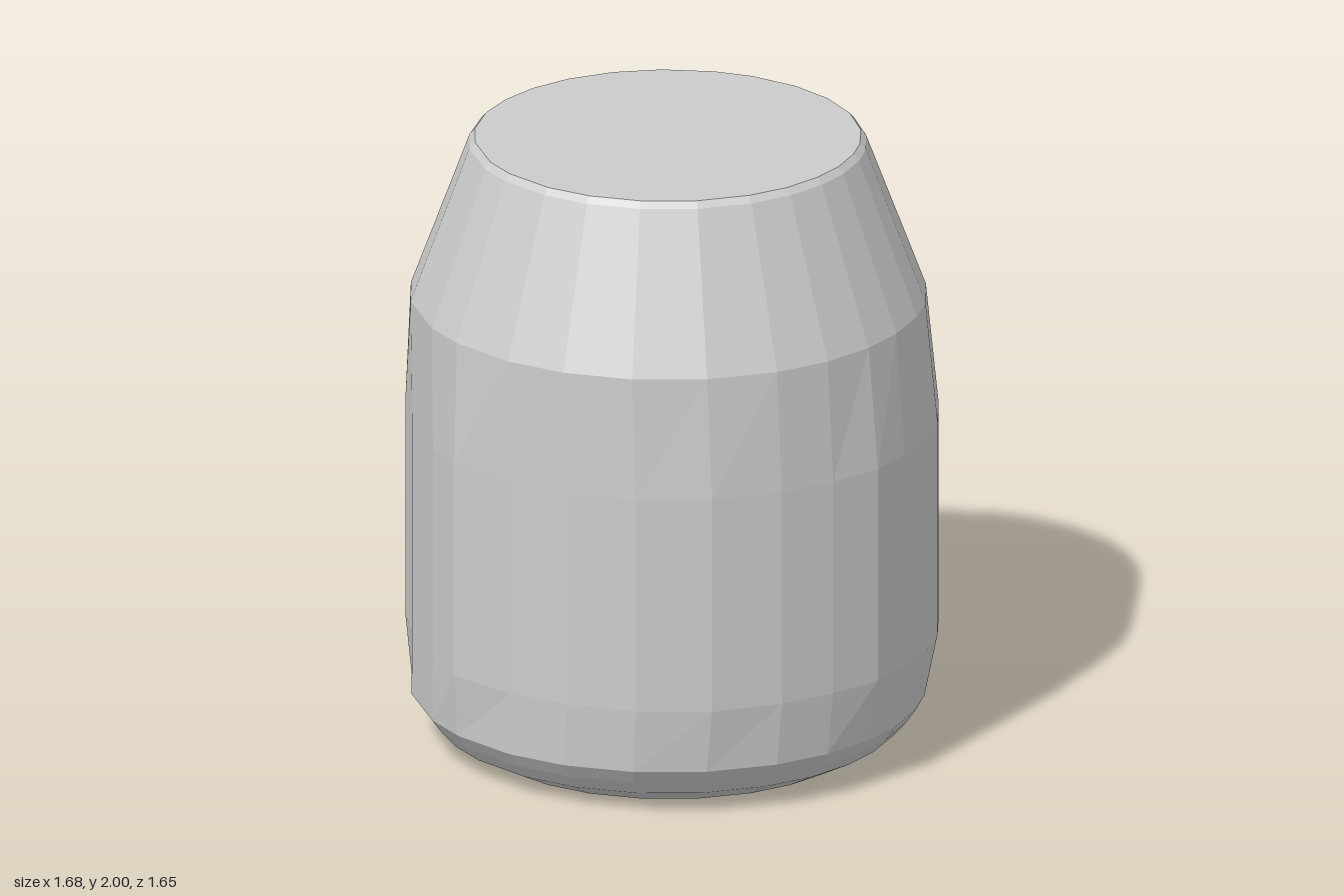
import * as THREE from 'three';

// Faceted outline of the belly, as [x, z] going from +x round through +z
const BELLY = [
  [0.84, -0.1], [0.84, 0.08], [0.81, 0.22], [0.74, 0.38], [0.66, 0.52], [0.52, 0.64],
  [0.36, 0.74], [0.14, 0.82], [-0.1, 0.82], [-0.32, 0.76], [-0.5, 0.66], [-0.68, 0.5],
  [-0.75, 0.35], [-0.82, 0.1], [-0.845, -0.08], [-0.82, -0.29], [-0.72, -0.45], [-0.6, -0.6],
  [-0.47, -0.75], [-0.26, -0.83], [-0.04, -0.83], [0.19, -0.83], [0.36, -0.78], [0.55, -0.65],
  [0.68, -0.48], [0.79, -0.31],
];

// Round ring that shares the belly's angles, so facets line up
const circle = (y, r, cx, cz) => BELLY.map(([x, z]) => {
  const a = Math.atan2(z, x);
  return [cx + r * Math.cos(a), y, cz + r * Math.sin(a)];
});
const belly = (y) => BELLY.map(([x, z]) => [x, y, z]);

// Joins rings (bottom to top) with outward-facing quads
function loft(rings) {
  const pos = [];
  const n = BELLY.length;
  for (let k = 0; k < rings.length - 1; k++) {
    for (let i = 0; i < n; i++) {
      const j = (i + 1) % n;
      const [a, b, c, d] = [rings[k][i], rings[k + 1][i], rings[k + 1][j], rings[k][j]];
      pos.push(...a, ...b, ...d, ...b, ...c, ...d);
    }
  }
  return toGeometry(pos);
}

// Flat lid over one ring
function cap(ring, up) {
  const pos = [];
  for (let i = 1; i < ring.length - 1; i++) {
    const [p, q] = up ? [ring[i + 1], ring[i]] : [ring[i], ring[i + 1]];
    pos.push(...ring[0], ...p, ...q);
  }
  return toGeometry(pos);
}

function toGeometry(pos) {
  const g = new THREE.BufferGeometry();
  g.setAttribute('position', new THREE.Float32BufferAttribute(pos, 3));
  g.computeVertexNormals();
  return g;
}

export function createModel() {
  const group = new THREE.Group();
  group.name = 'jar';
  const material = new THREE.MeshStandardMaterial({ color: 0xcccccc, flatShading: true });
  const add = (name, geometry) => {
    const mesh = new THREE.Mesh(geometry, material);
    mesh.name = name;
    group.add(mesh);
  };

  const base = circle(0, 0.62, -0.01, -0.01);
  const foot = circle(0.16, 0.815, -0.013, -0.008);
  const shoulder = circle(1.48, 0.818, -0.013, -0.008);
  const neck = circle(1.98, 0.63, -0.015, -0.022);
  const rim = circle(2, 0.612, -0.015, -0.025);

  add('base', cap(base, false));
  add('roundedFoot', loft([base, circle(0.06, 0.735, -0.012, -0.01), circle(0.11, 0.78, -0.012, -0.01), foot]));
  add('body', loft([foot, belly(0.37), belly(1.08), shoulder]));
  add('taperedShoulder', loft([shoulder, neck]));
  add('rim', loft([neck, rim]));
  add('top', cap(rim, true));
  return group;
}
